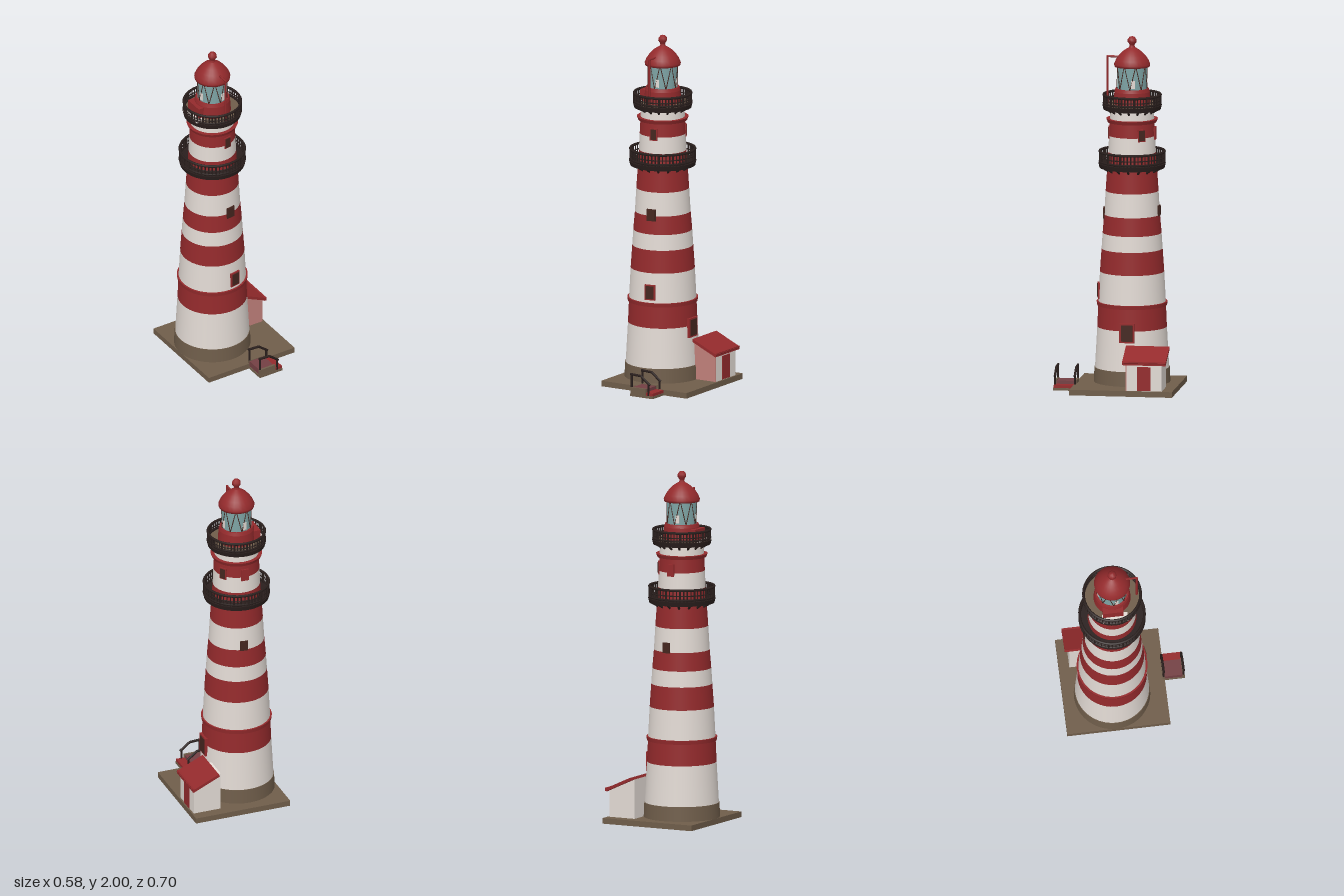
import * as THREE from 'three';

const mat = (name, color) => {
  const m = new THREE.MeshStandardMaterial({ color });
  m.name = name;
  return m;
};
const red = mat('red paint', 0x942a2c);
const white = mat('white paint', 0xe2dad4);
const stone = mat('brown stone', 0x6f5d4a);
const iron = mat('dark iron', 0x2a1f1d);
const glass = mat('lantern glass', 0x7fa5a6);
const pink = mat('pink plaster', 0xc0807a);
const pane = mat('window shade', 0x45261f);
const stepRed = mat('step red', 0x744044);

const UP = new THREE.Vector3(0, 1, 0);

function add(parent, name, geometry, material, x = 0, y = 0, z = 0) {
  const mesh = new THREE.Mesh(geometry, material);
  mesh.name = name;
  mesh.position.set(x, y, z);
  parent.add(mesh);
  return mesh;
}

// Box given by its minimum and maximum corners
function block(parent, name, material, x0, x1, y0, y1, z0, z1) {
  return add(parent, name, new THREE.BoxGeometry(x1 - x0, y1 - y0, z1 - z0), material,
    (x0 + x1) / 2, (y0 + y1) / 2, (z0 + z1) / 2);
}

// Round drum between two heights
function drum(parent, name, material, y0, y1, r0, r1 = r0, sides = 40) {
  return add(parent, name, new THREE.CylinderGeometry(r1, r0, y1 - y0, sides), material, 0, (y0 + y1) / 2, 0);
}

// Straight bar between two points
function bar(parent, name, material, a, b, r = 0.004) {
  const p = new THREE.Vector3(...a), q = new THREE.Vector3(...b);
  const mesh = add(parent, name, new THREE.CylinderGeometry(r, r, p.distanceTo(q), 6), material);
  mesh.position.copy(p).lerp(q, 0.5);
  mesh.quaternion.setFromUnitVectors(UP, q.sub(p).normalize());
}

const polar = (angle, r, y) => [Math.sin(angle) * r, y, Math.cos(angle) * r];

// Framed opening set into the curved wall; angle is measured from the front
function opening(parent, name, angle, r, y, w, h, frame = red, depth = 0.03) {
  const g = new THREE.Group();
  g.name = name;
  g.position.set(...polar(angle, r, y));
  g.rotation.y = angle;
  block(g, name + 'Frame', frame, -w / 2, w / 2, -h / 2, h / 2, -depth, 0.003);
  block(g, name + 'Pane', pane, -w * 0.38, w * 0.38, -h * 0.42, h * 0.42, 0, 0.006);
  parent.add(g);
}

// Round gallery with deck, brackets and railing
function gallery(parent, name, y, r, height, wallRadius, floor) {
  const g = new THREE.Group();
  g.name = name;
  parent.add(g);
  drum(g, 'deckEdge', iron, y, y + 0.026, r - 0.006, r);
  drum(g, 'deckFloor', floor, y + 0.026, y + 0.03, r - 0.014);
  for (const [h, t] of [[height, 0.0075], [height * 0.65, 0.0035], [0.036, 0.006]]) {
    const ring = add(g, 'rail', new THREE.TorusGeometry(r - 0.007, t, 6, 40), iron, 0, y + h, 0);
    ring.rotation.x = Math.PI / 2;
  }
  const n = 56;
  for (let i = 0; i < n; i++) {
    const a = (i / n) * Math.PI * 2;
    bar(g, 'baluster', iron, polar(a, r - 0.007, y + 0.02), polar(a, r - 0.007, y + height), i % 4 ? 0.0035 : 0.006);
  }
  for (let i = 0; i < 16; i++) {
    const a = (i / 16) * Math.PI * 2;
    bar(g, 'bracket', iron, polar(a, wallRadius - 0.005, y - 0.018), polar(a, r - 0.018, y + 0.004), 0.007);
  }
}

export function createModel() {
  const model = new THREE.Group();
  model.name = 'lighthouse';

  // Ground slab
  block(model, 'groundSlab', stone, -0.285, 0.285, 0, 0.032, -0.35, 0.235);

  const tower = new THREE.Group();
  tower.name = 'tower';
  tower.position.set(-0.07, 0, -0.07);
  model.add(tower);

  // Plinth and striped shaft
  drum(tower, 'plinth', stone, 0.03, 0.115, 0.216, 0.212);
  const bands = [
    [0.115, 0.209, white], [0.345, 0.196, red], [0.485, 0.19, white], [0.66, 0.181, red],
    [0.79, 0.172, white], [0.88, 0.166, red], [0.985, 0.157, white], [1.12, 0.149, red],
    [1.34, 0.134, white], [1.435, 0.13, red], [1.53, 0.125, white], [1.59, 0.122, white],
  ];
  for (let i = 0; i < bands.length - 1; i++) {
    const [y0, r0, m] = bands[i];
    const [y1, r1] = bands[i + 1];
    drum(tower, m === red ? 'redBand' : 'whiteBand', m, y0, y1, r0, r1);
  }
  drum(tower, 'lowerMoulding', red, 0.468, 0.49, 0.197, 0.2);
  drum(tower, 'upperMoulding', red, 1.512, 1.532, 0.138, 0.146);

  // Windows and doors
  opening(tower, 'lowWindow', 0.18, 0.19, 0.55, 0.062, 0.088);
  opening(tower, 'middleWindow', 0.15, 0.158, 0.99, 0.055, 0.068, pane);
  opening(tower, 'highWindow', 0.16, 0.13, 1.45, 0.045, 0.07);
  opening(tower, 'sideHighWindow', 2.15, 0.13, 1.45, 0.045, 0.07);
  block(tower, 'rearHighShutter', red, -0.022, 0.022, 1.415, 1.485, -0.136, -0.11);
  opening(tower, 'rearWindow', 3.05, 0.156, 1.01, 0.046, 0.06, pane);
  opening(tower, 'sideDoor', Math.PI / 2, 0.203, 0.335, 0.085, 0.11, red, 0.05);

  // Two galleries
  gallery(tower, 'lowerGallery', 1.252, 0.19, 0.092, 0.142, iron);
  gallery(tower, 'upperGallery', 1.585, 0.168, 0.082, 0.122, stone);
  block(tower, 'deckPlate', white, -0.15, -0.1, 1.61, 1.618, -0.07, 0.075);

  // Lantern room
  drum(tower, 'lanternBase', red, 1.6, 1.685, 0.106, 0.1);
  drum(tower, 'lanternSill', red, 1.685, 1.703, 0.1, 0.094);
  drum(tower, 'lanternGlass', glass, 1.7, 1.84, 0.084, 0.086, 16);
  block(tower, 'lanternDoor', red, -0.121, -0.08, 1.605, 1.68, -0.065, 0.05);
  for (let i = 0; i < 8; i++) {
    const a = (i / 8) * Math.PI * 2, b = a + Math.PI / 8, c = a + Math.PI / 4;
    bar(tower, 'glazingBar', pane, polar(a, 0.086, 1.7), polar(b, 0.085, 1.84), 0.0025);
    bar(tower, 'glazingBar', pane, polar(b, 0.085, 1.84), polar(c, 0.086, 1.7), 0.0025);
  }
  // Pale lamp glints behind the bars
  for (const angle of [0.2, 1.77, 3.34, 4.91]) {
    const glint = add(tower, 'lampGlint', new THREE.BoxGeometry(0.022, 0.045, 0.006), white, ...polar(angle, 0.083, 1.735));
    glint.rotation.y = angle;
  }

  // Domed roof and finial
  const lathe = (name, points, sides) => add(tower, name,
    new THREE.LatheGeometry(points.map(([r, y]) => new THREE.Vector2(r, y)), sides), red);
  lathe('dome', [[0.07, 1.832], [0.1, 1.828], [0.102, 1.842], [0.092, 1.866], [0.077, 1.888],
    [0.055, 1.912], [0.032, 1.928], [0.014, 1.938]], 24);
  lathe('finial', [[0.022, 1.925], [0.014, 1.945], [0.015, 1.953], [0.026, 1.968],
    [0.025, 1.982], [0.014, 1.996], [0, 2]], 8);

  // Hoist mast on the upper gallery
  bar(tower, 'mastPost', red, [0, 1.605, 0.14], [0, 1.885, 0.14], 0.006);
  bar(tower, 'mastArm', red, [0, 1.882, 0.146], [0, 1.882, 0.06], 0.006);

  // Lean-to hut
  const hut = new THREE.Group();
  hut.name = 'hut';
  model.add(hut);
  const profile = new THREE.Shape([[0.112, 0.03], [0.275, 0.03], [0.275, 0.182], [0.112, 0.257]]
    .map(([x, y]) => new THREE.Vector2(x, y)));
  const slice = depth => new THREE.ExtrudeGeometry(profile, { depth, bevelEnabled: false });
  add(hut, 'hutWalls', slice(0.2), white, 0, 0, -0.29);
  add(hut, 'hutFrontWall', slice(0.005), pink, 0, 0, -0.09);
  const roof = add(hut, 'hutRoof', new THREE.BoxGeometry(0.174, 0.016, 0.248), red, 0.208, 0.223, -0.19);
  roof.rotation.z = -0.43;
  block(hut, 'hutRoofEdge', red, 0.276, 0.288, 0.18, 0.2, -0.314, -0.066);
  block(hut, 'hutDoor', red, 0.274, 0.28, 0.035, 0.17, -0.228, -0.15);

  // Entrance steps with a handrail on each side
  const steps = new THREE.Group();
  steps.name = 'entranceSteps';
  model.add(steps);
  block(steps, 'landingBase', stone, -0.018, 0.132, 0, 0.014, 0.23, 0.35);
  block(steps, 'topStep', stepRed, -0.014, 0.08, 0.012, 0.048, 0.232, 0.346);
  block(steps, 'bottomStep', red, 0.08, 0.13, 0.012, 0.03, 0.232, 0.346);
  for (const z of [0.23, 0.343]) {
    bar(steps, 'railPost', iron, [-0.012, 0.01, z], [-0.012, 0.128, z], 0.006);
    bar(steps, 'railPost', iron, [0.1, 0.01, z], [0.1, 0.085, z], 0.006);
    bar(steps, 'handrail', iron, [-0.02, 0.126, z], [0.05, 0.122, z], 0.007);
    bar(steps, 'handrail', iron, [0.048, 0.123, z], [0.108, 0.076, z], 0.007);
    block(steps, 'stepKerb', stone, -0.018, 0.085, 0.012, 0.052, z - 0.006, z + 0.006);
  }

  return model;
}
